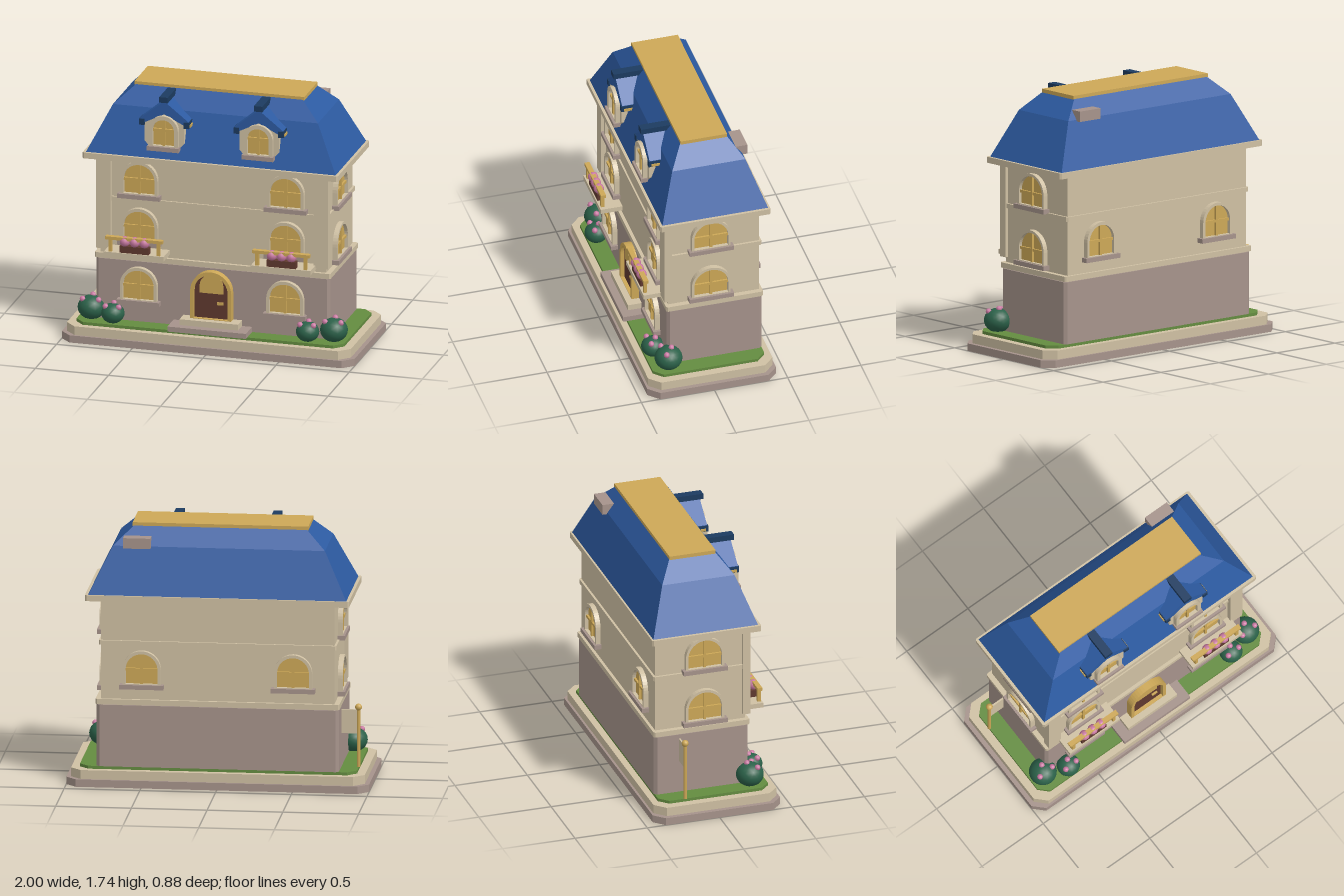
import * as THREE from 'three';

const mat = (name, color, flatShading = false) => {
  const m = new THREE.MeshStandardMaterial({ color, flatShading });
  m.name = name;
  return m;
};

export function createModel() {
  const cream = mat('cream stone', 0xcfc0a3);
  const mauve = mat('mauve stone', 0xa6938b);
  const blue = mat('blue roof', 0x2d5ba2);
  const navy = mat('navy trim', 0x1c3b60);
  const gold = mat('gold', 0xcda857);
  const brown = mat('brown wood', 0x60392f);
  const grass = mat('grass green', 0x648c40);
  const leaf = mat('leaf green', 0x2b6149);
  const pink = mat('pink blossom', 0xcb7ba4);

  const model = new THREE.Group();
  model.name = 'townHouse';

  const add = (parent, name, geo, material, x = 0, y = 0, z = 0) => {
    const m = new THREE.Mesh(geo, material);
    m.name = name;
    m.position.set(x, y, z);
    parent.add(m);
    return m;
  };
  // Box given by its limits on each axis
  const block = (parent, name, material, x0, x1, y0, y1, z0, z1) =>
    add(parent, name, new THREE.BoxGeometry(x1 - x0, y1 - y0, z1 - z0), material,
      (x0 + x1) / 2, (y0 + y1) / 2, (z0 + z1) / 2);
  // Slab with cut corners
  const slab = (name, material, hx, z0, z1, y0, y1, c) => {
    const s = new THREE.Shape([
      [-hx + c, z0], [hx - c, z0], [hx, z0 + c], [hx, z1 - c],
      [hx - c, z1], [-hx + c, z1], [-hx, z1 - c], [-hx, z0 + c],
    ].map(([x, z]) => new THREE.Vector2(x, -z)).reverse());
    const g = new THREE.ExtrudeGeometry(s, { depth: y1 - y0, bevelEnabled: false });
    g.rotateX(-Math.PI / 2);
    return add(model, name, g, material, 0, y0, 0);
  };
  // Box narrowing towards the top
  const taper = (name, material, y0, hx0, hz0, y1, hx1, hz1, z) => {
    const g = new THREE.BoxGeometry(2, y1 - y0, 2);
    const p = g.attributes.position;
    for (let i = 0; i < p.count; i++) {
      const up = p.getY(i) > 0;
      p.setX(i, p.getX(i) * (up ? hx1 : hx0));
      p.setZ(i, p.getZ(i) * (up ? hz1 : hz0));
    }
    const flat = g.toNonIndexed();
    flat.computeVertexNormals();
    return add(model, name, flat, material, 0, (y0 + y1) / 2, z);
  };
  // Round-headed outline standing on y = bottom
  const arch = (Type, w, straight, bottom = 0) => {
    const s = new Type();
    s.moveTo(-w, bottom);
    s.lineTo(w, bottom);
    s.lineTo(w, straight);
    s.absarc(0, straight, w, 0, Math.PI, false);
    s.lineTo(-w, bottom);
    return s;
  };
  const extrude = (s, depth) =>
    new THREE.ExtrudeGeometry(s, { depth, bevelEnabled: false, curveSegments: 10 });
  const archRing = (w, inner, straight, depth) => {
    const s = arch(THREE.Shape, w, straight);
    s.holes.push(arch(THREE.Path, inner, straight, 0.004));
    return extrude(s, depth);
  };
  // Arched window with frame, glass, bars and sill; faces +z before turning
  const archWindow = (name, x, y, z, turn = 0, w = 0.126, inner = 0.106, straight = 0.1, sill = 0.145) => {
    const g = new THREE.Group();
    g.name = name;
    add(g, 'windowFrame', archRing(w, inner, straight, 0.036), cream);
    add(g, 'windowGlass', extrude(arch(THREE.Shape, inner, straight), 0.012), gold);
    const top = straight + inner;
    block(g, 'uprightBar', gold, -0.009, 0.009, 0, top, 0.01, 0.028);
    block(g, 'crossBar', gold, -inner, inner, straight - 0.009, straight + 0.009, 0.01, 0.026);
    block(g, 'windowSill', mauve, -sill, sill, -0.03, 0, -0.01, 0.052);
    g.position.set(x, y, z);
    g.rotation.y = turn;
    model.add(g);
    return g;
  };

  // Plinth and lawn
  slab('plinthBase', mauve, 1, -0.44, 0.44, 0, 0.05, 0.07);
  slab('plinthStep', cream, 0.97, -0.425, 0.425, 0.05, 0.11, 0.07);
  slab('lawn', grass, 0.915, -0.38, 0.38, 0.11, 0.13, 0.06);

  // Storeys and bands
  slab('groundFloor', mauve, 0.8, -0.385, 0.265, 0.13, 0.545, 0.02);
  slab('lowerBand', cream, 0.805, -0.39, 0.272, 0.55, 0.585, 0.01);
  slab('bandGap', cream, 0.78, -0.375, 0.255, 0.54, 0.552, 0.01);
  block(model, 'upperFloors', cream, -0.77, 0.77, 0.58, 1.26, -0.37, 0.25);
  slab('middleBand', cream, 0.785, -0.385, 0.262, 0.95, 0.98, 0.01);
  slab('eaves', cream, 0.872, -0.422, 0.332, 1.25, 1.29, 0.01);
  for (const s of [-1, 1]) {
    block(model, 'cornerPilaster', cream, s * 0.742 - 0.05, s * 0.742 + 0.05, 0.62, 1.25, 0.23, 0.283);
  }

  // Mansard roof, cap and chimney
  taper('lowerRoof', blue, 1.285, 0.855, 0.363, 1.6, 0.7, 0.25, -0.048);
  taper('upperRoof', blue, 1.6, 0.7, 0.25, 1.72, 0.57, 0.158, -0.048);
  block(model, 'roofCap', gold, -0.58, 0.58, 1.715, 1.74, -0.208, 0.11);
  block(model, 'chimney', mauve, 0.45, 0.63, 1.59, 1.66, -0.332, -0.24);

  // Windows on all walls
  for (const s of [-1, 1]) {
    archWindow('groundWindow', s * 0.5, 0.285, 0.262);
    archWindow('middleWindow', s * 0.5, 0.69, 0.247);
    archWindow('upperWindow', s * 0.5, 1.015, 0.247);
    archWindow('backWindow', s * 0.5, 0.69, -0.367, Math.PI);
    for (const y of [0.625, 1.003]) {
      archWindow('sideWindow', s * 0.767, y, -0.035, s * Math.PI / 2, 0.133, 0.116, 0.085, 0.152);
    }
  }

  // Door and steps
  block(model, 'lowerStep', mauve, -0.268, 0.268, 0.13, 0.165, 0.24, 0.412);
  block(model, 'upperStep', cream, -0.2, 0.2, 0.165, 0.205, 0.24, 0.36);
  add(model, 'doorFrame', archRing(0.14, 0.116, 0.19, 0.055), gold, 0, 0.205, 0.262);
  add(model, 'door', extrude(arch(THREE.Shape, 0.118, 0.19), 0.03), brown, 0, 0.205, 0.262);
  add(model, 'doorGlass', extrude(arch(THREE.Shape, 0.08, 0.05), 0.008), gold, 0, 0.382, 0.291);
  block(model, 'doorHandle', gold, 0.04, 0.08, 0.307, 0.324, 0.29, 0.304);

  for (const s of [-1, 1]) {
    // Balcony with rail and flower box
    const b = new THREE.Group();
    b.name = 'balcony';
    b.position.x = s * 0.502;
    model.add(b);
    block(b, 'balconyFloor', cream, -0.204, 0.204, 0.608, 0.64, 0.24, 0.4);
    block(b, 'balconyRail', gold, -0.195, 0.195, 0.725, 0.746, 0.362, 0.396);
    for (const x of [-0.165, 0.165]) {
      block(b, 'railPost', gold, x - 0.011, x + 0.011, 0.64, 0.73, 0.368, 0.39);
    }
    block(b, 'flowerBox', brown, -0.1, 0.1, 0.64, 0.686, 0.345, 0.392);
    for (const x of [-0.067, 0, 0.067]) {
      add(b, 'blossom', new THREE.SphereGeometry(0.035, 10, 8), pink, x, 0.715, 0.374);
    }

    // Dormer
    const d = new THREE.Group();
    d.name = 'dormer';
    d.position.x = s * 0.323;
    model.add(d);
    const face = new THREE.Shape([[-0.1, 1.36], [0.1, 1.36], [0.135, 1.4], [0.135, 1.54],
      [0.05, 1.595], [-0.05, 1.595], [-0.135, 1.54], [-0.135, 1.4]].map((p) => new THREE.Vector2(...p)));
    add(d, 'dormerWall', extrude(face, 0.2), cream, 0, 0, 0.09);
    const gable = new THREE.Shape([[-0.165, 1.53], [-0.13, 1.53], [0, 1.595], [0.13, 1.53],
      [0.165, 1.53], [0.165, 1.555], [0, 1.685], [-0.165, 1.555]].map((p) => new THREE.Vector2(...p)));
    add(d, 'dormerRoof', extrude(gable, 0.21), blue, 0, 0, 0.085);
    block(d, 'dormerRidge', navy, -0.029, 0.029, 1.68, 1.718, 0.1, 0.313);
    for (const e of [-1, 1]) {
      block(d, 'dormerEave', navy, e * 0.152 - 0.018, e * 0.152 + 0.018, 1.51, 1.552, 0.15, 0.302);
      block(d, 'eaveTip', gold, e * 0.168 - 0.008, e * 0.168 + 0.008, 1.515, 1.533, 0.22, 0.285);
    }
    const w = archWindow('dormerWindow', 0, 1.378, 0.284, 0, 0.1, 0.073, 0.11, 0.108);
    d.add(w);

    // Bushes with blossoms
    const bushes = [[0.828, 0.2, 0.265, 0.092], [0.665, 0.192, 0.325, 0.077]];
    for (const [x, y, z, r] of bushes) {
      const g = new THREE.Group();
      g.name = 'bush';
      g.position.set(s * x, y, z);
      model.add(g);
      add(g, 'bushLeaves', new THREE.IcosahedronGeometry(r, 3), leaf).scale.y = 0.88;
      for (const [a, b2, c] of [[-0.55, 0.68, 0.4], [0.6, 0.66, 0.3], [0.05, 0.85, -0.2]]) {
        add(g, 'bushBlossom', new THREE.SphereGeometry(0.02, 8, 6), pink, a * r, b2 * r, c * r);
      }
    }
  }

  // Post with hanging panel
  add(model, 'signPost', new THREE.CylinderGeometry(0.012, 0.012, 0.4, 10), gold, -0.912, 0.33, -0.21);
  add(model, 'postFinial', new THREE.SphereGeometry(0.023, 12, 8), gold, -0.912, 0.532, -0.21);
  block(model, 'signPanel', cream, -0.905, -0.79, 0.355, 0.515, -0.216, -0.204);

  return model;
}
